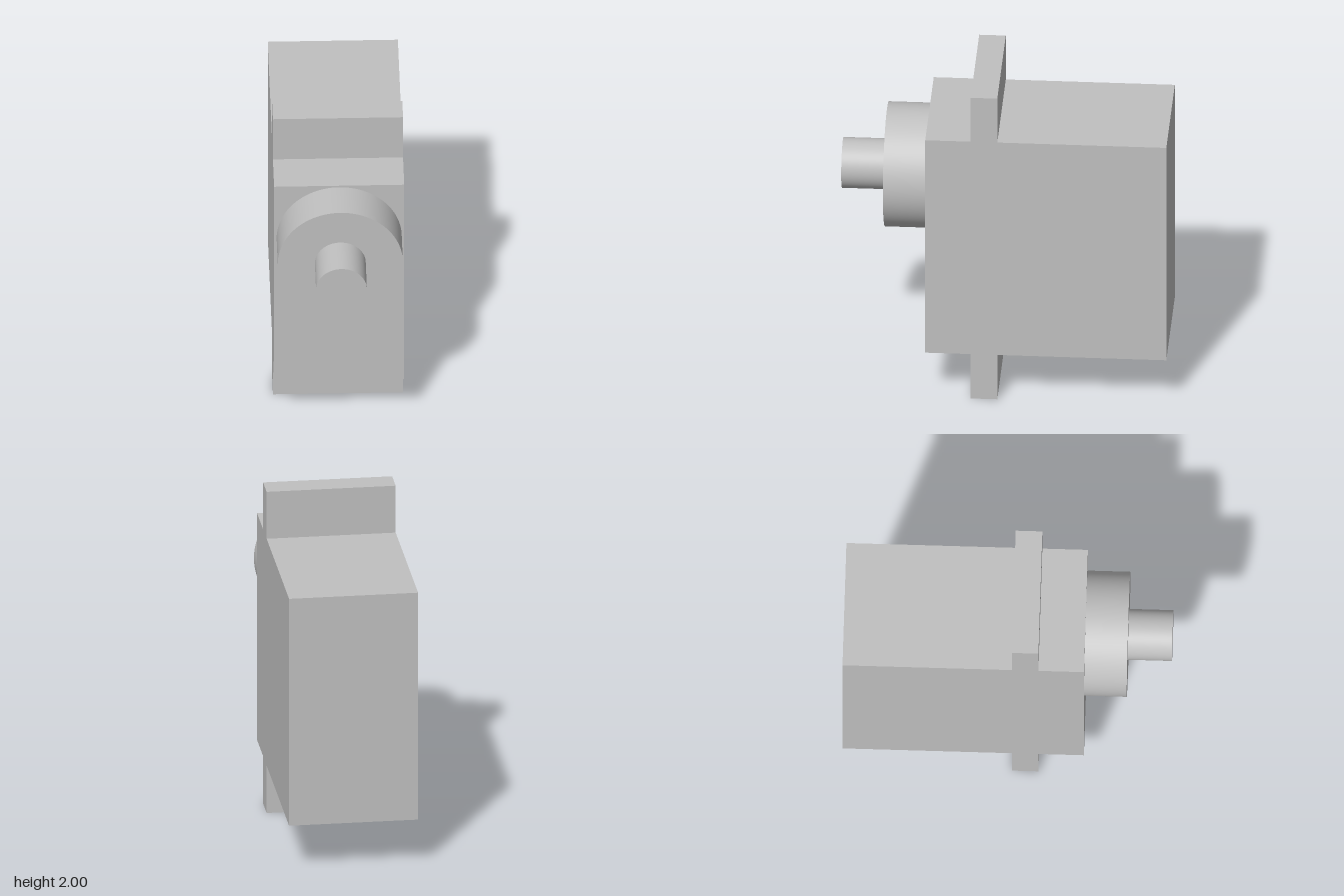
import * as THREE from 'three';

const grey = new THREE.MeshStandardMaterial({ color: 0xc0c0c0 });
grey.name = 'plastic grey';

const WIDTH = 0.757;
const AXIS_Y = 1.333;

// Cylinder along z between two depths, on the output axis
function axialCylinder(name, radius, z0, z1) {
  const geometry = new THREE.CylinderGeometry(radius, radius, z1 - z0, 96);
  geometry.rotateX(Math.PI / 2);
  const mesh = new THREE.Mesh(geometry, grey);
  mesh.name = name;
  mesh.position.set(0, AXIS_Y, (z0 + z1) / 2);
  return mesh;
}

export function createModel() {
  const model = new THREE.Group();
  model.name = 'servoMotor';

  // Case with both mounting tabs: side outline as (z, y), extruded across the width
  const back = -0.955, front = 0.45, bottom = 0.295, top = 1.708;
  const tabBack = 0.03, tabFront = 0.185;
  const outline = new THREE.Shape([
    [back, bottom], [tabBack, bottom], [tabBack, 0], [tabFront, 0], [tabFront, bottom], [front, bottom],
    [front, top], [tabFront, top], [tabFront, 2], [tabBack, 2], [tabBack, top], [back, top],
  ].map(([z, y]) => new THREE.Vector2(-z, y)));
  const caseGeometry = new THREE.ExtrudeGeometry(outline, { depth: WIDTH, bevelEnabled: false });
  caseGeometry.translate(0, 0, -WIDTH / 2);
  caseGeometry.rotateY(Math.PI / 2); // outline -z becomes the shape's x
  const body = new THREE.Mesh(caseGeometry, grey);
  body.name = 'caseWithMountingTabs';
  model.add(body);

  // Gear housing and output shaft
  model.add(axialCylinder('gearHousing', 0.364, front, 0.698));
  model.add(axialCylinder('outputShaft', 0.148, 0.698, 0.955));

  return model;
}
